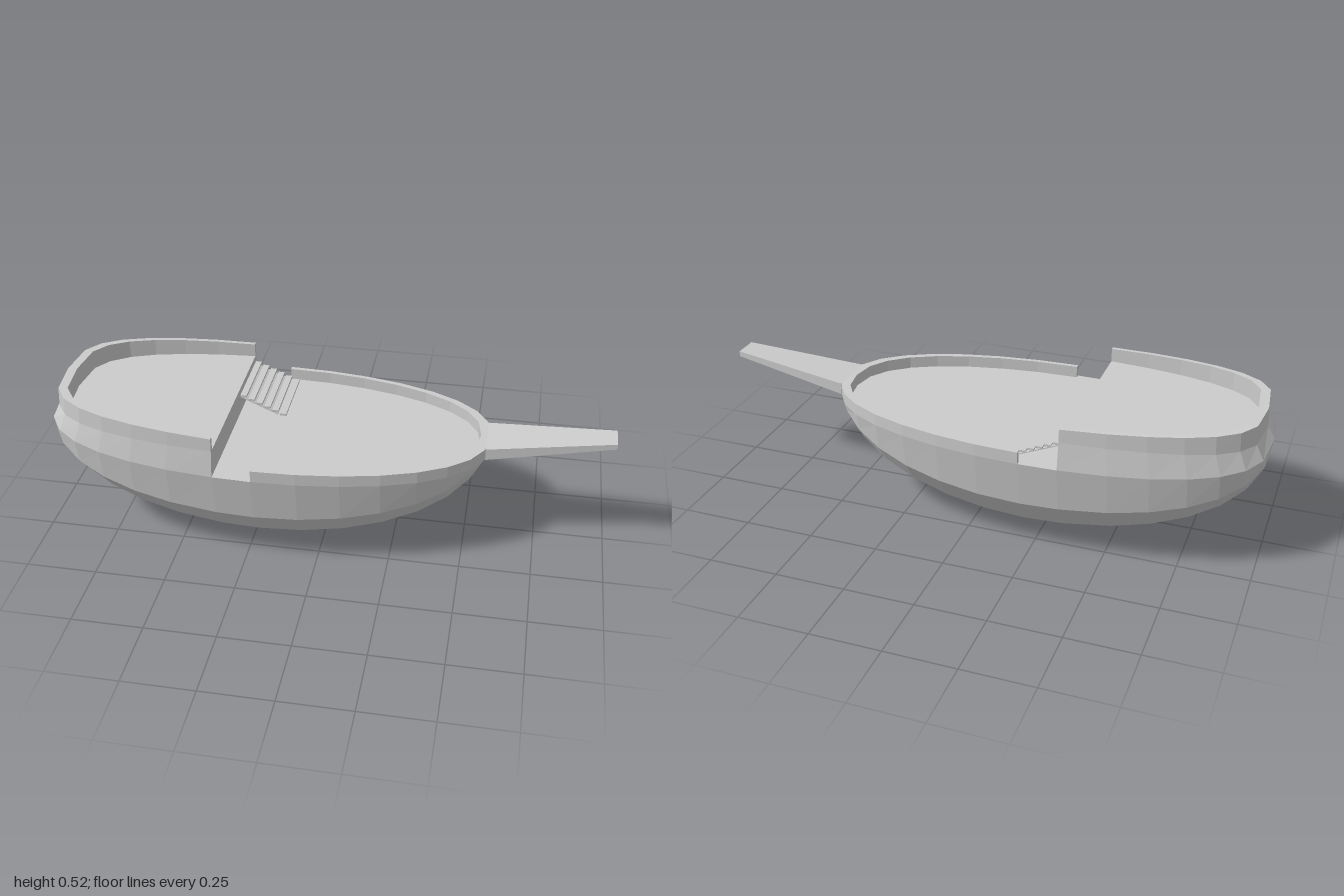
import * as THREE from 'three';

const CX = -0.215, HALF_LEN = 0.785, HALF_WIDTH = 0.358;
const DECK = 0.352, UPPER_DECK = 0.447, RAIL = 0.395, SHEER = 0.41;
const BREAK = Math.acos((-0.35 - CX) / HALF_LEN); // angle of the step between decks
const STEP = Math.PI / 16;

const material = new THREE.MeshStandardMaterial({ color: 0xcccccc, flatShading: true, side: THREE.DoubleSide });

// Skin a grid of points, rows[i][j]
function skin(rows) {
  const n = rows[0].length, index = [];
  for (let i = 0; i < rows.length - 1; i++) {
    for (let j = 0; j < n - 1; j++) {
      const a = i * n + j, b = a + 1, c = a + n, d = c + 1;
      index.push(a, b, c, b, d, c);
    }
  }
  const geometry = new THREE.BufferGeometry();
  geometry.setAttribute('position', new THREE.Float32BufferAttribute(rows.flat(2), 3));
  geometry.setIndex(index);
  const flat = geometry.toNonIndexed();
  flat.computeVertexNormals();
  return flat;
}

// Plan outline: t = 0 at the bow, PI at the stern; s shrinks it inwards
function plan(t, s, y, side = 1, width = HALF_WIDTH) {
  const c = Math.cos(t), fullness = c < 0 ? 0.55 : 0.85;
  const sx = Math.abs(c) < 0.2 ? 1 : s;
  const f = Math.pow(Math.max(0, Math.sin(t)), fullness);
  return [CX + HALF_LEN * c * sx, y, side * f * width * s];
}

// Sweep a closed wall section along the outline and close its ends
function wall(path, section) {
  const rows = path.map(([t, side]) => {
    const pts = section(t).map(([s, y]) => plan(t, s, y, side));
    return [...pts, pts[0]];
  });
  const cap = (row) => {
    const m = [0, 1, 2].map((k) => row.slice(1).reduce((sum, p) => sum + p[k], 0) / (row.length - 1));
    return row.map(() => m);
  };
  return skin([cap(rows[0]), ...rows, cap(rows[rows.length - 1])]);
}

export function createModel() {
  const group = new THREE.Group();
  const add = (name, geometry, parent = group) => {
    const mesh = new THREE.Mesh(geometry, material);
    mesh.name = name;
    parent.add(mesh);
    return mesh;
  };

  // Stations from stern to bow
  const stations = [];
  for (let i = 16; i >= 0; i--) stations.push(i === 9 ? BREAK : i * STEP);
  const aft = stations.filter((t) => t >= BREAK);
  const fore = stations.filter((t) => t <= BREAK);
  const bow = stations.filter((t) => t <= Math.PI / 2 + 1e-6);

  // Hull: half width and depth below the sheer, sheer to keel
  const frame = [[0.358, 0.058], [0.333, 0.225], [0.26, 0.325], [0.14, 0.388], [0, 0.41]];
  const ribs = [...frame.map((p) => [...p, 1]), ...frame.slice(0, 4).reverse().map((p) => [...p, -1])];
  add('hull', skin(stations.map((t) => ribs.map(([w, depth, side], j) => {
    let y = SHEER - depth * Math.sin(t);
    if (t < BREAK - 1e-6) y = (j === 0 || j === ribs.length - 1) ? DECK : Math.min(y, DECK);
    return plan(t, 1, y, side, w);
  }))));

  // Decks
  const deck = (ts, s, y) => skin(ts.map((t) => [plan(t, s, y, -1), plan(t, s, y, 1)]));
  add('mainDeck', deck(fore, 1, DECK));
  add('upperDeck', deck(aft, 0.95, UPPER_DECK));

  // Bulkhead between the decks
  const foot = plan(BREAK, 1, DECK), head = plan(BREAK, 0.96, UPPER_DECK);
  const mirror = ([x, y, z]) => [x, y, -z];
  add('bulkhead', skin([[mirror(foot), mirror(head)], [foot, head]].reverse()));

  // Raised stern wall, leaning inwards
  const sternPath = [...aft.map((t) => [t, 1]).reverse(), ...aft.slice(1).map((t) => [t, -1])];
  add('sternWall', wall(sternPath, (t) => {
    const top = 0.497 + 0.032 * (-0.35 - CX - HALF_LEN * Math.cos(t));
    return [[1, SHEER - 0.058 * Math.sin(t)], [0.965, 0.45], [0.96, top], [0.918, top], [0.918, UPPER_DECK]];
  }));

  // Low bulwark around the bow
  const bowPath = [...bow.map((t) => [t, -1]), ...bow.slice(0, -1).reverse().map((t) => [t, 1])];
  add('bowBulwark', wall(bowPath, () => [[1, DECK], [1, RAIL], [0.955, RAIL], [0.955, DECK]]));

  // Tapering, rising bowsprit
  const sprit = new THREE.BoxGeometry(1, 1, 1);
  const p = sprit.attributes.position;
  for (let i = 0; i < p.count; i++) {
    const k = p.getX(i) + 0.5, lerp = THREE.MathUtils.lerp;
    const y = p.getY(i) > 0 ? lerp(RAIL, 0.438, k) : lerp(DECK, 0.418, k);
    p.setXYZ(i, lerp(0.557, 1, k), y, 2 * p.getZ(i) * lerp(0.088, 0.045, k));
  }
  sprit.computeVertexNormals();
  add('bowsprit', sprit);

  // Stairs on the right side: treads on a thin sloping board
  const stairs = new THREE.Group();
  stairs.name = 'stairs';
  group.add(stairs);
  for (let i = 0; i < 6; i++) {
    add('tread', new THREE.BoxGeometry(0.023, 0.008, 0.255), stairs)
      .position.set(-0.334 + i * 0.0292, 0.428 - i * 0.0125, -0.187);
  }
  const board = add('stairBoard', new THREE.BoxGeometry(0.15, 0.004, 0.25), stairs);
  board.position.set(-0.275, 0.394, -0.187);
  board.rotation.z = -Math.atan2(0.0125, 0.0292);

  return group;
}
